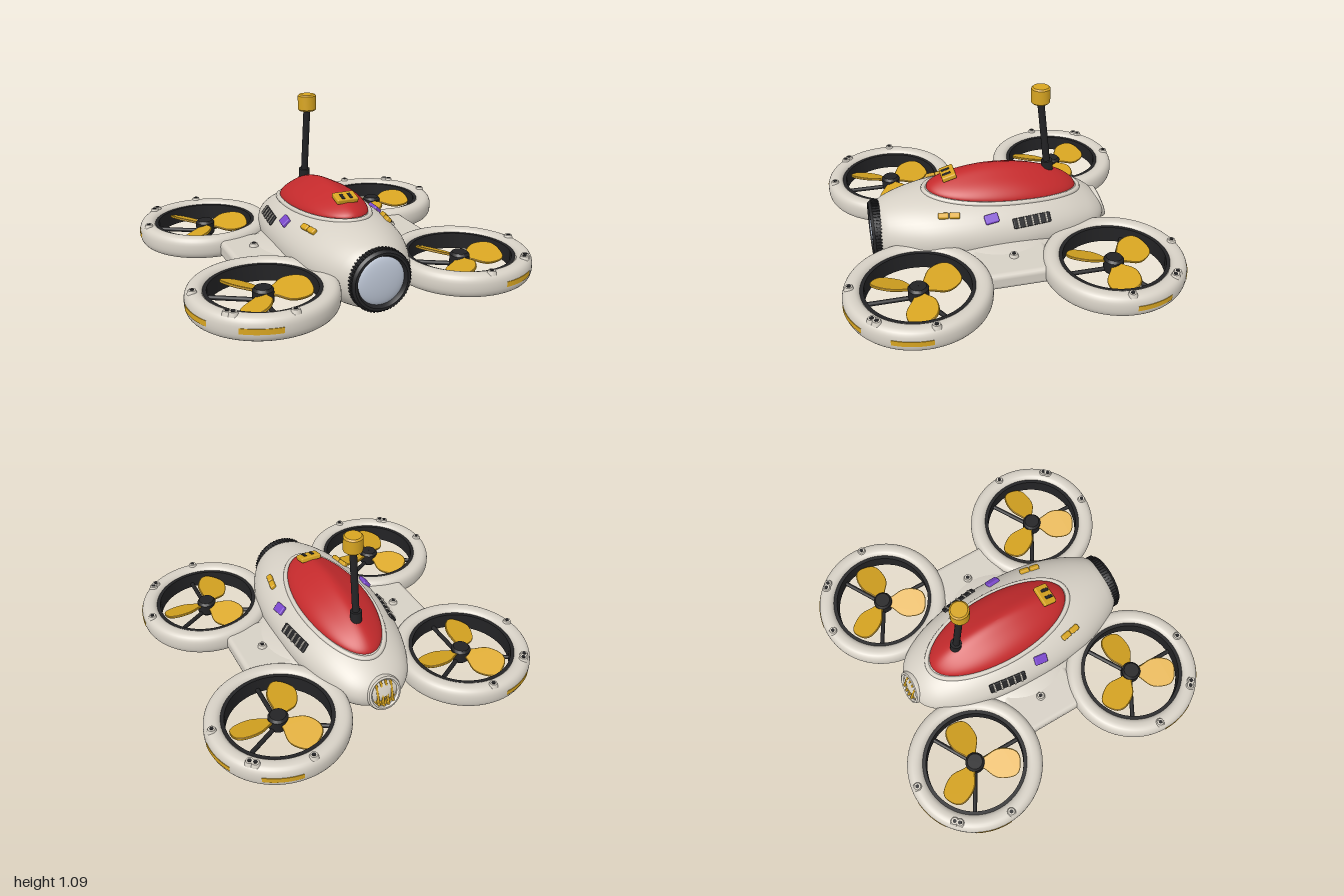
import * as THREE from 'three';
import { toCreasedNormals } from 'three/addons/utils/BufferGeometryUtils.js';
import { RoundedBoxGeometry } from 'three/addons/geometries/RoundedBoxGeometry.js';

const paint = (name, color) => Object.assign(new THREE.MeshStandardMaterial({ color }), { name });
const V = (x, y, z) => new THREE.Vector3(x, y, z);

// Hull stations: z, half width, top, bottom, height of widest line
const STATIONS = [
  [0.7, 0.17, 0.435, 0.115, 0.275], [0.66, 0.205, 0.46, 0.095, 0.278], [0.55, 0.262, 0.492, 0.07, 0.285],
  [0.4, 0.312, 0.515, 0.057, 0.295], [0.2, 0.34, 0.53, 0.05, 0.3], [0, 0.345, 0.533, 0.05, 0.3],
  [-0.2, 0.333, 0.515, 0.055, 0.3], [-0.4, 0.29, 0.472, 0.075, 0.29], [-0.55, 0.225, 0.412, 0.115, 0.28],
  [-0.63, 0.165, 0.36, 0.155, 0.265], [-0.675, 0.09, 0.31, 0.2, 0.255], [-0.69, 0.01, 0.26, 0.245, 0.252],
];

// Smooth interpolation between stations
function station(z) {
  const n = STATIONS.length - 1;
  let i = 0;
  while (i < n - 1 && z < STATIONS[i + 1][0]) i++;
  const [p, a, b, q] = [i - 1, i, i + 1, i + 2].map((k) => STATIONS[Math.min(n, Math.max(0, k))]);
  const d = b[0] - a[0], t = THREE.MathUtils.clamp((z - a[0]) / d, 0, 1);
  return [1, 2, 3, 4].map((k) => {
    const m0 = ((b[k] - p[k]) / (b[0] - p[0])) * d, m1 = ((q[k] - a[k]) / (q[0] - a[0])) * d;
    return (2 * t ** 3 - 3 * t * t + 1) * a[k] + (t ** 3 - 2 * t * t + t) * m0
      + (3 * t * t - 2 * t ** 3) * b[k] + (t ** 3 - t * t) * m1;
  });
}

function hullPoint(z, a) {
  const [w, top, bottom, mid] = station(z), s = Math.sin(a);
  return V(w * Math.cos(a), mid + s * (s > 0 ? top - mid : mid - bottom), z);
}

function hullTop(x, z) {
  const [w, top, , mid] = station(z);
  return mid + (top - mid) * Math.sqrt(Math.max(0, 1 - (x / w) ** 2));
}

// Surface of nu rows, closed around v
function loopSurface(nu, nv, point) {
  const pos = [], index = [];
  for (let i = 0; i <= nu; i++) {
    for (let j = 0; j < nv; j++) {
      pos.push(...point(i / nu, (j / nv) * Math.PI * 2).toArray());
      if (i === nu) continue;
      const k = (j + 1) % nv, a = i * nv, b = a + nv;
      index.push(a + j, b + j, b + k, a + j, b + k, a + k);
    }
  }
  const g = new THREE.BufferGeometry();
  g.setAttribute('position', new THREE.Float32BufferAttribute(pos, 3));
  g.setIndex(index);
  g.computeVertexNormals();
  return g;
}

// Closed counter-clockwise profile of [radius, y] points turned about y
function turned(profile, start = 0, length = Math.PI * 2, segments = 64) {
  const pts = [...profile, profile[0]].map(([r, y]) => new THREE.Vector2(r, y));
  return toCreasedNormals(new THREE.LatheGeometry(pts, segments, start, length), 0.6);
}

function add(parent, name, geometry, material, x = 0, y = 0, z = 0) {
  const mesh = new THREE.Mesh(geometry, material);
  mesh.name = name;
  mesh.position.set(x, y, z);
  parent.add(mesh);
  return mesh;
}

function rod(parent, name, from, to, radius, material) {
  const d = to.clone().sub(from);
  const m = add(parent, name, new THREE.CylinderGeometry(radius, radius, d.length(), 14), material);
  m.position.copy(from).addScaledVector(d, 0.5);
  m.quaternion.setFromUnitVectors(V(0, 1, 0), d.normalize());
  return m;
}

export function createModel() {
  const cream = paint('cream shell', 0xd6d0c5), red = paint('red canopy', 0xc42a2c);
  const black = paint('black trim', 0x232325), yellow = paint('yellow accent', 0xd8a521);
  const purple = paint('purple sensor', 0x7b48cc), glass = paint('pale glass', 0xbcc5d4);
  const teal = paint('teal lens', 0x2e8089);
  const model = new THREE.Group();
  const group = (name, parent = model) => {
    const g = new THREE.Group();
    g.name = name;
    parent.add(g);
    return g;
  };
  const box = (w, h, d, r = 0.008) => new RoundedBoxGeometry(w, h, d, 2, r);

  // Hull, flared skirt and side webs
  add(model, 'hull', loopSurface(72, 56, (u, a) => hullPoint(0.7 - 1.39 * u, a)), cream);
  add(model, 'skirt', new THREE.SphereGeometry(1, 48, 24).scale(0.5, 0.095, 0.42), cream, 0, 0.225, 0);
  add(model, 'sideWebs', box(1.22, 0.1, 0.44, 0.03), cream, 0, 0.225, -0.005);

  // Canopy with a dorsal ridge, and its rim
  const canopyPoint = (r, a) => {
    const x = 0.208 * r * Math.cos(a), z = -0.055 - 0.455 * r * Math.sin(a), k = Math.max(0, 1 - r * r);
    return V(x, hullTop(x, z) + 0.004 + 0.066 * Math.sqrt(k) + 0.022 * Math.sqrt(k) * Math.exp(-((x / 0.07) ** 2)), z);
  };
  add(model, 'canopy', loopSurface(28, 72, (u, a) => canopyPoint(Math.sin(u * Math.PI / 2), a)), red);
  const rimPath = new THREE.CatmullRomCurve3(Array.from({ length: 48 }, (_, i) => {
    const p = canopyPoint(1.04, (i / 48) * Math.PI * 2);
    p.y -= 0.008;
    return p;
  }), true);
  add(model, 'canopyRim', new THREE.TubeGeometry(rimPath, 96, 0.015, 8, true), cream);

  // Clip on the canopy
  const clip = group('canopyClip');
  clip.position.set(0, 0.598, 0.27);
  clip.rotation.x = 0.28;
  add(clip, 'clipPlate', box(0.13, 0.03, 0.085), yellow);
  for (const s of [-1, 1]) add(clip, 'clipSlot', box(0.02, 0.008, 0.05, 0.003), black, s * 0.024, 0.014, 0.008);

  // Antenna
  rod(model, 'antennaMast', V(0, 0.56, -0.335), V(0, 1, -0.282), 0.021, black);
  rod(model, 'antennaFoot', V(0, 0.54, -0.338), V(0, 0.61, -0.331), 0.034, black);
  add(model, 'antennaCap', turned([[0.001, -0.05], [0.046, -0.05], [0.055, -0.041], [0.055, 0.041], [0.046, 0.05], [0.001, 0.05]], 0, Math.PI * 2, 32), yellow, 0, 1.038, -0.281);

  // Front camera
  const eye = group('frontCamera');
  eye.position.set(0, 0.275, 0.71);
  eye.rotation.x = Math.PI / 2;
  add(eye, 'lensBarrel', turned([[0.13, -0.04], [0.168, -0.04], [0.174, -0.03], [0.174, 0.016], [0.162, 0.032], [0.148, 0.032], [0.136, 0.01]]), black);
  for (let i = 0; i < 56; i++) {
    const a = (i / 56) * Math.PI * 2;
    add(eye, 'gripTooth', new THREE.BoxGeometry(0.008, 0.04, 0.01), black, 0.174 * Math.sin(a), -0.006, 0.174 * Math.cos(a)).rotation.y = a;
  }
  add(eye, 'lensGlass', new THREE.SphereGeometry(0.138, 40, 12, 0, Math.PI * 2, 0, Math.PI / 2).scale(1, 0.22, 1), glass, 0, 0.004, 0);

  // Rear grille
  const grille = group('rearGrille');
  grille.position.set(0, 0.272, -0.668);
  grille.rotation.x = -Math.PI / 2 + 0.33;
  add(grille, 'grilleHousing', turned([[0.078, -0.08], [0.1, -0.08], [0.105, 0], [0.1, 0.014], [0.088, 0.018], [0.078, 0.008]], 0, Math.PI * 2, 40), cream);
  add(grille, 'grillePlate', new THREE.CylinderGeometry(0.08, 0.08, 0.04, 32), yellow, 0, -0.022, 0);
  for (const x of [-0.045, -0.015, 0.015, 0.045]) {
    add(grille, 'grilleBar', box(0.014, 0.024, 2 * Math.sqrt(0.08 ** 2 - x * x), 0.005), yellow, x, 0.004, 0);
  }

  // Belly lens
  const foot = add(model, 'bellyRing', new THREE.TorusGeometry(0.108, 0.027, 16, 48), black, 0, 0.027, -0.115);
  foot.rotation.x = Math.PI / 2;
  add(model, 'bellyHousing', new THREE.CylinderGeometry(0.105, 0.105, 0.05, 40), black, 0, 0.045, -0.115);
  add(model, 'bellyLens', new THREE.CylinderGeometry(0.082, 0.082, 0.008, 40), teal, 0, 0.017, -0.115);

  // Fittings on the flanks; local z points out of the hull
  for (const s of [1, -1]) {
    const mount = (name, z, a) => {
      const g = group(name), p = hullPoint(z, a);
      const n = hullPoint(z, a + 0.01).sub(p).cross(hullPoint(z + 0.01, a).sub(p)).normalize();
      p.x *= s;
      n.x *= s;
      g.position.copy(p);
      g.lookAt(p.clone().add(n));
      return g;
    };
    add(mount('flankSensor', 0.075, 0.6), 'sensor', box(0.08, 0.055, 0.036), purple).rotation.z = 0.15 * s;
    const marker = mount('flankMarker', 0.31, 0.77);
    for (const k of [-1, 1]) add(marker, 'markerBlock', box(0.06, 0.034, 0.04), yellow, k * 0.032, 0, 0);
    const vent = mount('flankVent', -0.16, 0.46);
    add(vent, 'ventOpening', box(0.23, 0.06, 0.016, 0.006), black);
    for (let i = -2; i <= 2; i++) add(vent, 'ventBar', box(0.011, 0.06, 0.028, 0.004), cream, i * 0.043, 0, 0);
    const slit = mount('bellyVent', 0.05, -0.95);
    add(slit, 'slitOpening', box(0.26, 0.03, 0.014, 0.005), black);
    for (let i = -3; i <= 3; i++) add(slit, 'slitBar', box(0.01, 0.03, 0.022, 0.004), cream, i * 0.035, 0, 0);
  }

  const screw = (parent, x, y, z) => {
    add(parent, 'screwCollar', new THREE.CylinderGeometry(0.02, 0.028, 0.022, 20), cream, x, y, z);
    add(parent, 'screwSocket', new THREE.CylinderGeometry(0.012, 0.012, 0.004, 6), black, x, y + 0.012, z);
  };
  for (const s of [-1, 1]) screw(model, s * 0.45, 0.283, -0.015);

  // Shared rotor shapes
  const ringProfile = Array.from({ length: 28 }, (_, i) => {
    const a = (i / 28) * Math.PI * 2, c = Math.cos(a), d = Math.sin(a);
    return [0.351 + 0.052 * Math.sign(c) * Math.abs(c) ** 0.8, 0.067 * Math.sign(d) * Math.abs(d) ** 0.8];
  });
  const ringGeometry = turned(ringProfile, 0, Math.PI * 2, 80);
  const linerGeometry = turned([[0.288, -0.05], [0.312, -0.05], [0.312, 0.046], [0.288, 0.046]]);
  const bladeShape = new THREE.Shape();
  bladeShape.moveTo(0.03, -0.02);
  bladeShape.bezierCurveTo(0.1, -0.05, 0.1, -0.1, 0.19, -0.088);
  bladeShape.bezierCurveTo(0.25, -0.08, 0.268, -0.06, 0.268, 0);
  bladeShape.bezierCurveTo(0.268, 0.05, 0.25, 0.078, 0.19, 0.084);
  bladeShape.bezierCurveTo(0.1, 0.09, 0.1, 0.05, 0.03, 0.02);
  const bladeGeometry = new THREE.ExtrudeGeometry(bladeShape, { depth: 0.008, bevelSize: 0.003, bevelThickness: 0.003, bevelSegments: 1, curveSegments: 10 })
    .rotateX(-Math.PI / 2 + 0.35);

  // Four ducted rotors
  for (const sx of [-1, 1]) for (const sz of [-1, 1]) {
    const rotor = group((sz > 0 ? 'front' : 'rear') + (sx > 0 ? 'Left' : 'Right') + 'Rotor');
    rotor.position.set(sx * 0.593, 0.235, sz > 0 ? 0.55 : -0.557);
    add(rotor, 'duct', ringGeometry, cream);
    add(rotor, 'ductLiner', linerGeometry, black);
    add(rotor, 'hub', turned([[0.001, -0.05], [0.045, -0.05], [0.057, -0.035], [0.057, 0.03], [0.045, 0.045], [0.001, 0.045]], 0, Math.PI * 2, 28), black);
    for (let i = 0; i < 3; i++) {
      const a = (i * Math.PI * 2) / 3;
      add(rotor, 'blade', bladeGeometry, yellow, 0, 0.008, 0).rotation.y = a;
      rod(rotor, 'strut', V(0, -0.03, 0), V(0.3 * Math.sin(a), -0.03, 0.3 * Math.cos(a)), 0.013, black);
    }
    // Marker strips and screws, measured from the fore-aft axis towards the outside
    const turn = (deg) => (sz > 0 ? 0 : Math.PI) + sx * sz * THREE.MathUtils.degToRad(deg);
    for (const deg of [20.5, 77]) {
      add(rotor, 'ductStrip', turned([[0.39, -0.015], [0.405, -0.015], [0.405, 0.015], [0.39, 0.015]], turn(deg) - 0.27, 0.54, 14), yellow);
    }
    for (const deg of [-6, 42, 47, 96]) screw(rotor, 0.362 * Math.sin(turn(deg)), 0.068, 0.362 * Math.cos(turn(deg)));
  }
  return model;
}
